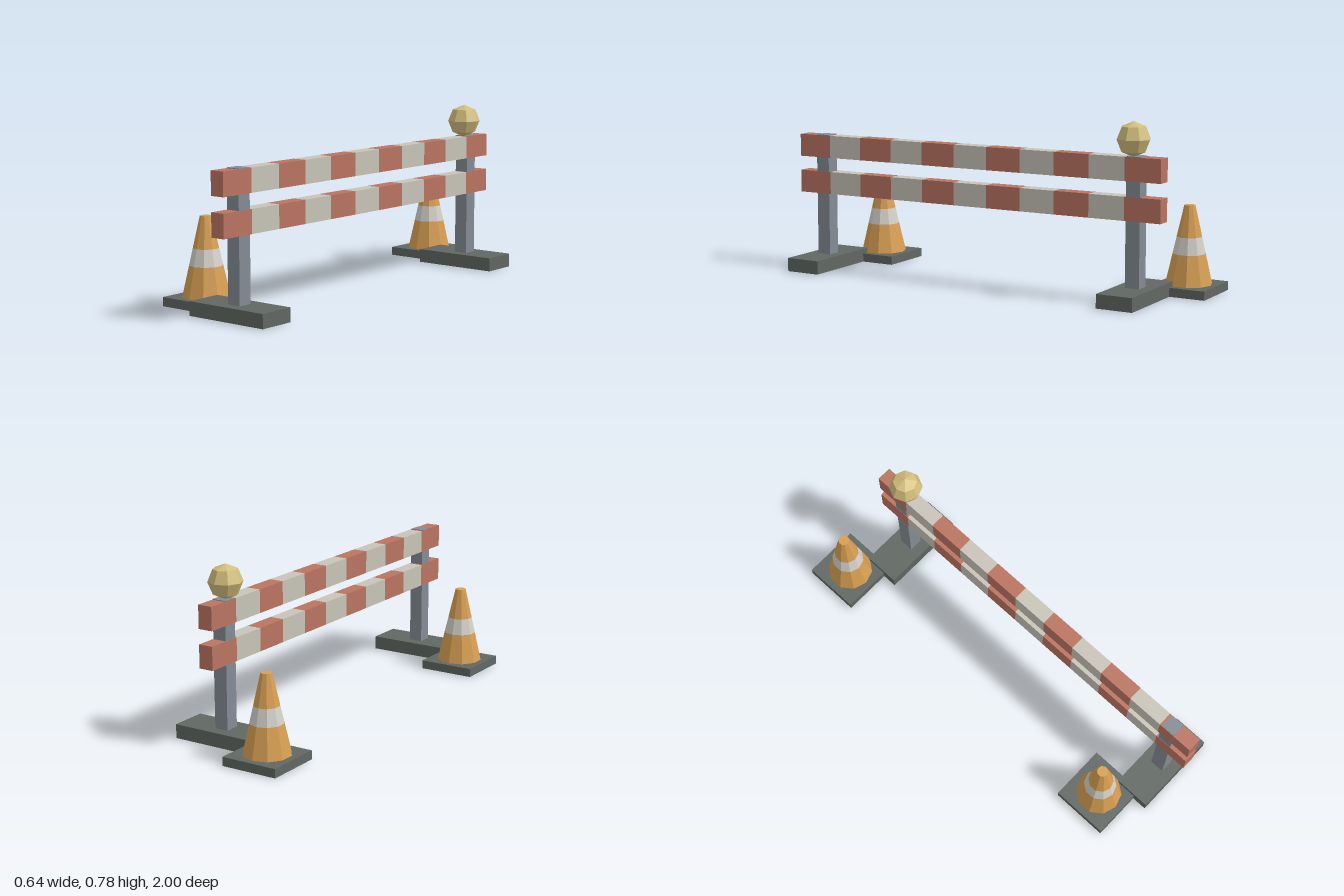
import * as THREE from 'three';

const mat = (name, color) => {
  const m = new THREE.MeshStandardMaterial({ color });
  m.name = name;
  return m;
};

export function createModel() {
  const red = mat('stripe red', 0xba7460);
  const cream = mat('stripe cream', 0xc8c4b8);
  const steel = mat('post grey', 0x848c94);
  const dark = mat('base dark grey', 0x616763);
  const orange = mat('cone orange', 0xd89f52);
  const white = mat('cone band white', 0xd4d2c9);
  const yellow = mat('lamp yellow', 0xd3be7c);

  const model = new THREE.Group();
  model.name = 'roadBarrier';

  const add = (parent, name, geometry, material, x, y, z) => {
    const mesh = new THREE.Mesh(geometry, material);
    mesh.name = name;
    mesh.position.set(x, y, z);
    parent.add(mesh);
    return mesh;
  };
  // Faceted geometry: every face gets its own flat normal
  const facet = (geometry) => {
    const g = geometry.toNonIndexed();
    g.computeVertexNormals();
    return g;
  };

  const railX = 0.113;

  // Feet and upright posts
  for (const [side, z] of [['front', 0.873], ['back', -0.75]]) {
    add(model, side + 'Foot', new THREE.BoxGeometry(0.411, 0.063, 0.17), dark, railX, 0.0315, z);
    add(model, side + 'Post', new THREE.BoxGeometry(0.065, 0.572, 0.067), steel, railX, 0.349, z);
  }

  // Two rails, each a row of alternating red and cream blocks
  const count = 11, zFront = 1, zBack = -0.88;
  const step = (zFront - zBack) / count;
  for (const [name, y] of [['lowerRail', 0.4075], ['upperRail', 0.5795]]) {
    const rail = new THREE.Group();
    rail.name = name;
    for (let i = 0; i < count; i++) {
      add(rail, 'stripe' + (i + 1), new THREE.BoxGeometry(0.068, 0.105, step),
        i % 2 ? cream : red, railX, y, zFront - (i + 0.5) * step);
    }
    model.add(rail);
  }

  // Warning lamp on the back post
  add(model, 'lamp', facet(new THREE.SphereGeometry(0.077, 8, 4)), yellow, railX, 0.706, -0.735);

  // Traffic cones: square plate and a ten-sided cone in three sections
  const y0 = 0.04, y1 = 0.392, r0 = 0.106, r1 = 0.025;
  const radiusAt = (y) => r0 + (r1 - r0) * (y - y0) / (y1 - y0);
  const section = (a, b, open) => facet(
    new THREE.CylinderGeometry(radiusAt(b), radiusAt(a), b - a, 10, 1, open));
  for (const [side, z] of [['front', 0.755], ['back', -0.868]]) {
    const cone = new THREE.Group();
    cone.name = side + 'Cone';
    cone.position.set(-0.188, 0, z);
    add(cone, 'plate', new THREE.BoxGeometry(0.265, 0.04, 0.265), dark, 0, 0.02, 0);
    for (const [name, a, b, m, open] of [
      ['lowerCone', y0, 0.177, orange, true],
      ['coneBand', 0.177, 0.252, white, true],
      ['upperCone', 0.252, y1, orange, false],
    ]) add(cone, name, section(a, b, open), m, 0, (a + b) / 2, 0);
    model.add(cone);
  }

  return model;
}
